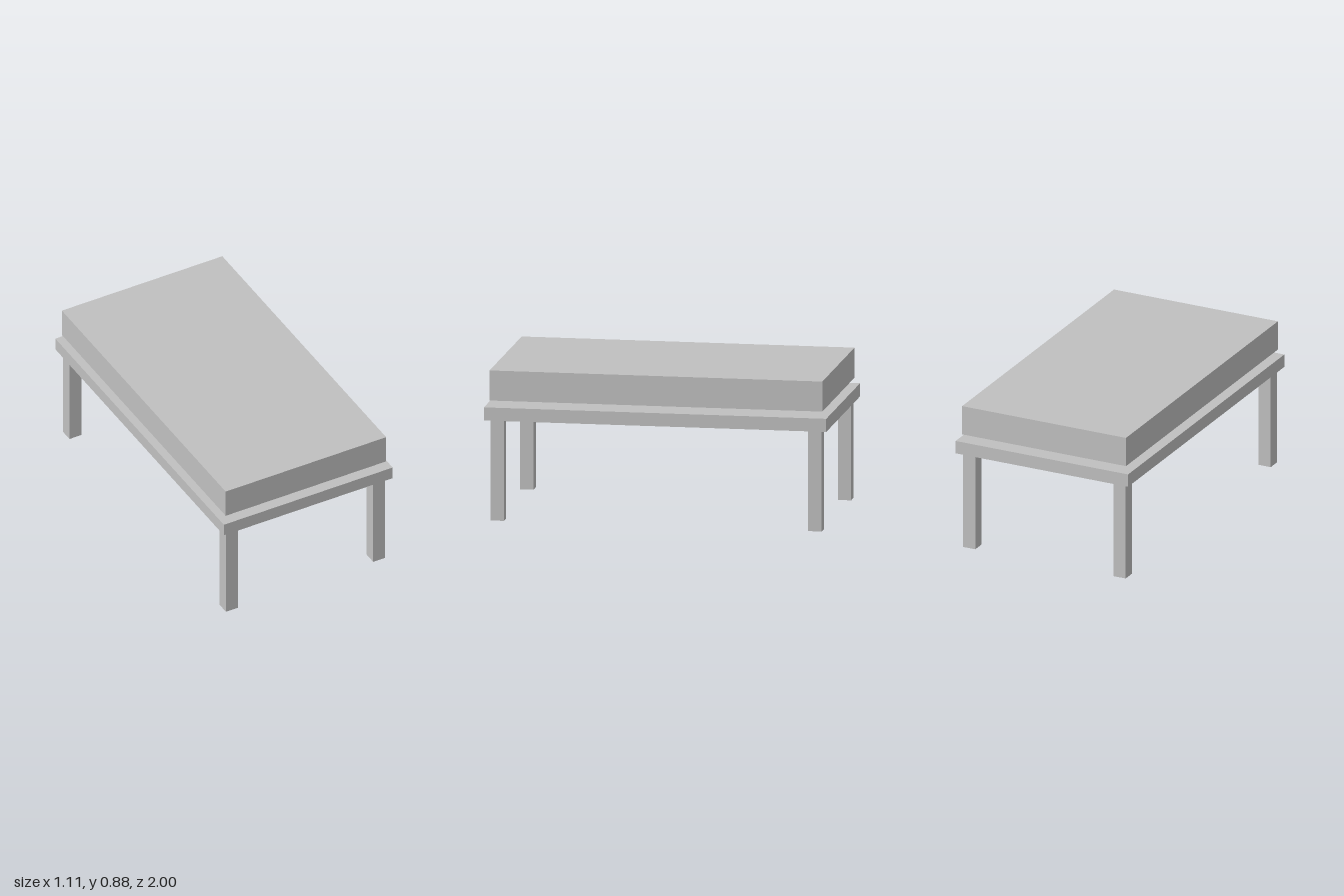
import * as THREE from 'three';

export function createModel() {
  const model = new THREE.Group();
  model.name = 'bed';
  const grey = new THREE.MeshStandardMaterial({ color: 0xc0c0c0 });
  grey.name = 'light grey';

  // Box placed by its centre in x and z, and its bottom and top heights
  function addBox(name, width, depth, bottom, top, x = 0, z = 0) {
    const mesh = new THREE.Mesh(new THREE.BoxGeometry(width, top - bottom, depth), grey);
    mesh.name = name;
    mesh.position.set(x, (bottom + top) / 2, z);
    model.add(mesh);
  }

  // Mattress hovers slightly above the bed frame
  addBox('mattress', 1.055, 1.944, 0.703, 0.879);
  addBox('frame', 1.11, 2, 0.59, 0.667);

  // Four square legs, inset from the frame corners
  for (const [zName, zSide] of [['front', 1], ['back', -1]]) {
    for (const [xName, xSide] of [['Left', 1], ['Right', -1]]) {
      addBox(zName + xName + 'Leg', 0.078, 0.078, 0, 0.59, xSide * 0.484, zSide * 0.928);
    }
  }
  return model;
}
